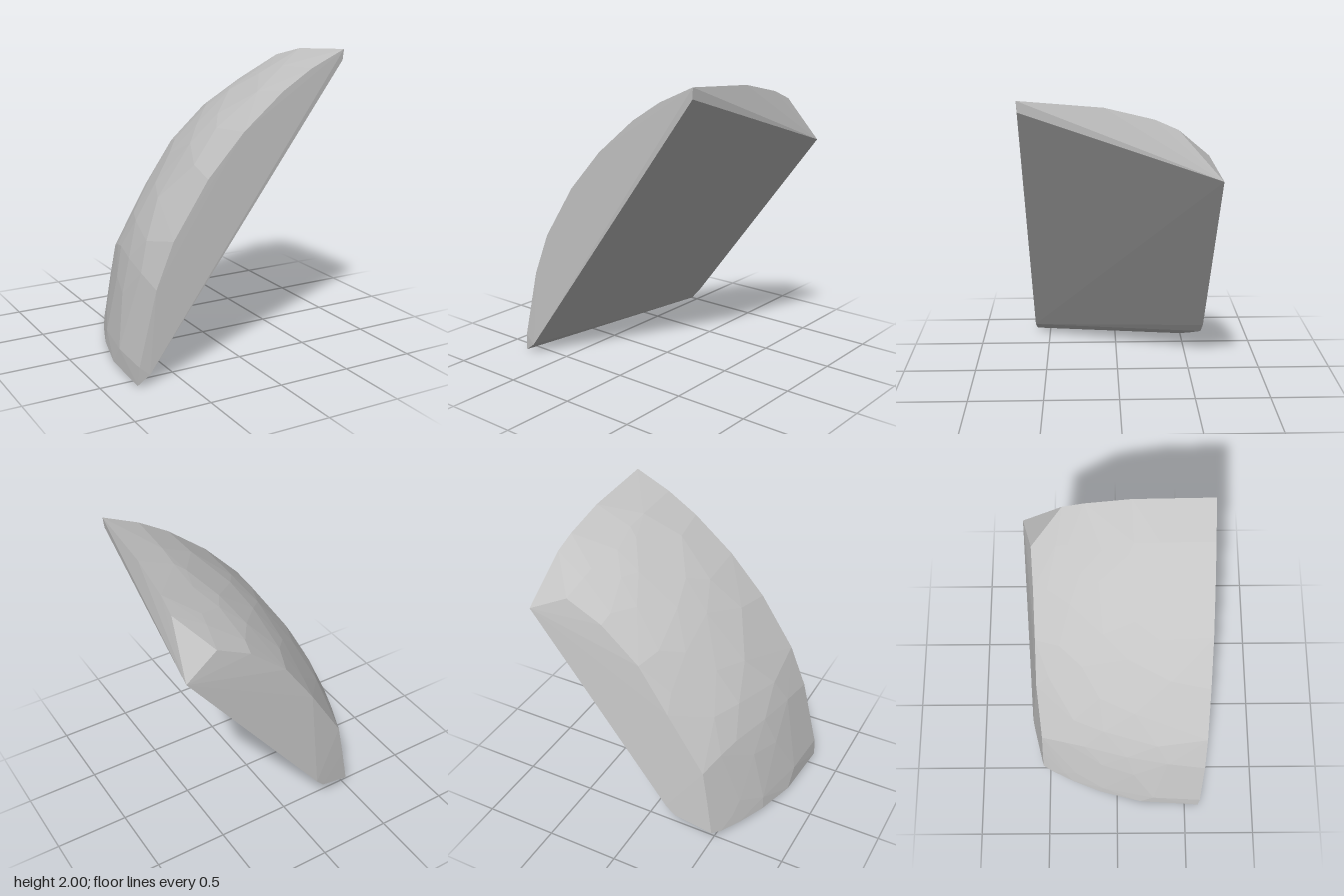
import * as THREE from 'three';
import { ConvexGeometry } from 'three/addons/geometries/ConvexGeometry.js';

const toPoint = (c) => new THREE.Vector3(...c);

// Domed outline along the front and the matching, lower outline along the back.
const FRONT = [
  [-0.78, 0.13, 0.607], [-0.66, 0.61, 0.61], [-0.54, 0.9, 0.61], [-0.3, 1.26, 0.61],
  [-0.05, 1.53, 0.612], [0.23, 1.76, 0.612], [0.44, 1.89, 0.613],
].map(toPoint);
const BACK = [
  [-0.5, 0.07, -0.55], [-0.46, 0.33, -0.54], [-0.42, 0.56, -0.53], [-0.17, 0.97, -0.545],
  [0.04, 1.28, -0.535], [0.3, 1.51, -0.535], [0.54, 1.64, -0.545],
].map(toPoint);

// Corners of the split plane, the base rim and the upper rim.
const CORNERS = [
  [0.68, 1.93, 0.61], [-0.71, 0.07, 0.61], [-0.25, 0.18, -0.61], [-0.19, 0.25, -0.62], [0.785, 1.53, -0.61],
  [-0.79, 0.01, 0.6], [-0.76, 0, 0.17], [-0.69, 0.02, -0.12], [-0.61, 0.035, -0.33], [-0.54, 0.05, -0.48],
  [0.685, 2, 0.615], [0.7, 1.96, 0.1], [0.71, 1.89, -0.2], [0.72, 1.83, -0.34],
].map(toPoint);

// Rows across the dome: the surface sinks faster toward the back,
// and neighbouring rows are shifted so the facets break up unevenly.
function domePoints() {
  const front = new THREE.CatmullRomCurve3(FRONT);
  const back = new THREE.CatmullRomCurve3(BACK);
  const points = [];
  [0.26, 0.45, 0.62, 0.76, 0.89].forEach((depth, row) => {
    for (let i = 0; i < 7; i++) {
      const wobble = Math.sin(i * 2.4 + row * 1.7);
      const along = THREE.MathUtils.clamp((i + (row % 2) * 0.5 + wobble * 0.2) / 6, 0, 1);
      const t = depth + 0.035 * Math.cos(i * 3.1 + row * 2.3);
      const a = front.getPoint(along), b = back.getPoint(along);
      const point = a.clone().lerp(b, t ** 2.2);
      point.z = THREE.MathUtils.lerp(a.z, b.z, t);
      points.push(point);
    }
  });
  return points;
}

export function createModel() {
  const stone = new THREE.MeshStandardMaterial({ color: 0xc4c4c4, flatShading: true });
  stone.name = 'light grey stone';

  const shard = new THREE.Mesh(new ConvexGeometry([...CORNERS, ...FRONT, ...BACK, ...domePoints()]), stone);
  shard.name = 'rockShard';

  const group = new THREE.Group();
  group.name = 'rock';
  group.add(shard);
  return group;
}
